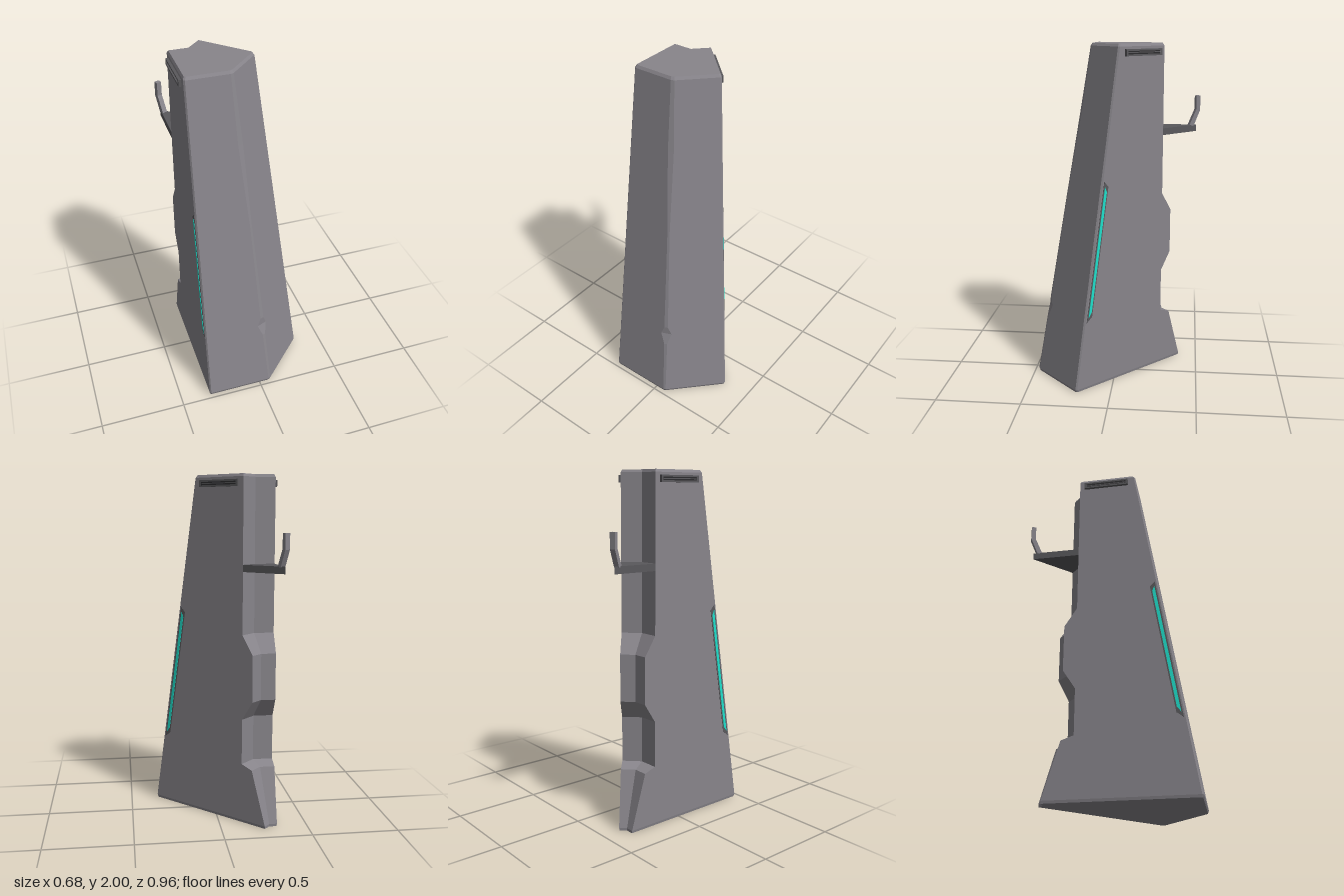
import * as THREE from 'three';

const A = Math.PI / 8; // half the angle between the two upright sides
const SIN = Math.sin(A), COS = Math.cos(A), TAN = Math.tan(A);
const mat = (name, color) => Object.assign(new THREE.MeshStandardMaterial({ color, flatShading: true }), { name });

// point on a side: d from the rear corner, out from the surface
const at = (side, d, out = 0) => new THREE.Vector2(side * (d * SIN + out * COS), d * COS - out * SIN);
// distance to the leaning front edge at a height
const frontAt = y => 0.945 - 0.165 * y;

// value of a piecewise linear profile of [y, value]
function sample(profile, y) {
  for (let i = 1; i < profile.length; i++) {
    const [y0, v0] = profile[i - 1], [y1, v1] = profile[i];
    if (y <= y1) return v0 + (v1 - v0) * (y - y0) / (y1 - y0);
  }
  return profile.at(-1)[1];
}

// where the rear notch starts, and how worn the front edge is
const REAR = [[0, 0.106], [0.33, 0.205], [0.355, 0.276], [0.62, 0.276], [0.73, 0.205], [1, 0.205], [1.11, 0.276], [2, 0.276]];
const WEAR = [[0, 0.008], [0.36, 0.01], [0.43, 0.035], [0.48, 0.012], [1.1, 0.007], [1.6, 0.018], [2, 0.01]];

function outline(y, scale) {
  const d = frontAt(y), e = sample(REAR, y), w = sample(WEAR, y), b = 0.008;
  const half = s => [at(s, e), at(s, d - b), at(s, d, -b), at(s, d, w - d * TAN)];
  const pts = [new THREE.Vector2(0, e / COS), ...half(1), ...half(-1).reverse()];
  return pts.map(p => new THREE.Vector2(p.x * scale, 0.47 + (p.y - 0.47) * scale));
}

function bodyGeometry() {
  const levels = [0, 0.015, 0.33, 0.355, 0.36, 0.43, 0.48, 0.62, 0.73, 1, 1.11, 1.6, 1.985, 2];
  const rings = levels.map(y => outline(y, y === 0 ? 0.985 : y === 2 ? 0.96 : 1));
  const n = rings[0].length, pos = [], index = [];
  rings.forEach((r, k) => r.forEach(p => pos.push(p.x, levels[k], p.y)));
  for (let k = 0; k < rings.length - 1; k++) {
    for (let i = 0; i < n; i++) {
      const a = k * n + i, b = k * n + (i + 1) % n;
      index.push(a, a + n, b + n, a, b + n, b);
    }
  }
  // end caps
  for (const [k, up] of [[0, false], [rings.length - 1, true]]) {
    for (const t of THREE.ShapeUtils.triangulateShape(rings[k], [])) {
      const ccw = THREE.ShapeUtils.area(t.map(i => rings[k][i])) > 0;
      const [a, b, c] = t.map(i => i + k * n);
      if (ccw === up) index.push(a, c, b); else index.push(a, b, c);
    }
  }
  const g = new THREE.BufferGeometry();
  g.setAttribute('position', new THREE.Float32BufferAttribute(pos, 3));
  g.setIndex(index);
  const flat = g.toNonIndexed();
  flat.computeVertexNormals();
  return flat;
}

const extrude = (pts, depth, hole) => {
  const shape = new THREE.Shape(pts.map(p => new THREE.Vector2(...p)));
  if (hole) shape.holes.push(new THREE.Path(hole.map(p => new THREE.Vector2(...p))));
  return new THREE.ExtrudeGeometry(shape, { depth, bevelEnabled: false });
};

// plate on a side, drawn in (d, y)
function plate(side, pts, depth, hole) {
  const flip = list => list && list.map(([d, y]) => [-side * d, y]);
  const basis = new THREE.Matrix4().makeBasis(
    new THREE.Vector3(-SIN, 0, -side * COS),
    new THREE.Vector3(0, 1, 0),
    new THREE.Vector3(side * COS, 0, -SIN));
  return extrude(flip(pts), depth, flip(hole)).applyMatrix4(basis);
}

const rect = (d0, d1, y0, y1) => [[d0, y0], [d1, y0], [d1, y1], [d0, y1]];
// slanted strip that follows the front edge
const strip = (o0, o1, y0, y1) => [
  [frontAt(y0) - o0, y0], [frontAt(y0 + 0.03) - o1, y0 + 0.03],
  [frontAt(y1 - 0.03) - o1, y1 - 0.03], [frontAt(y1) - o0, y1]];

export function createModel() {
  const grey = mat('body grey', 0x88858b);
  const dark = mat('dark grey', 0x5a595c);
  const black = mat('slot black', 0x2c2c2e);
  const cyan = mat('light cyan', 0x1fe0cc);

  const model = new THREE.Group();
  model.name = 'tower';
  const add = (name, geometry, material) => {
    const mesh = new THREE.Mesh(geometry, material);
    mesh.name = name;
    model.add(mesh);
  };

  add('body', bodyGeometry(), grey);

  // light strips and vents on both upright sides
  for (const [side, label] of [[1, 'left'], [-1, 'right']]) {
    add(label + 'LightFrame', plate(side, strip(0.016, 0.05, 0.42, 1.24), 0.002), dark);
    add(label + 'Light', plate(side, strip(0.024, 0.042, 0.45, 1.21), 0.004), cyan);
    add(label + 'VentFrame', plate(side, rect(0.305, 0.573, 1.932, 1.97), 0.015, rect(0.318, 0.56, 1.942, 1.96)), dark);
    add(label + 'VentSlot', plate(side, rect(0.31, 0.568, 1.936, 1.966), 0.004), black);
    add(label + 'VentSlat', plate(side, rect(0.318, 0.56, 1.949, 1.954), 0.01), dark);
  }

  // shelf filling the rear corner
  const e = 0.276;
  const shelf = extrude([[0, 0], [e * SIN, -e * COS], [0, -e / COS], [-e * SIN, -e * COS]], 0.04);
  add('shelf', shelf.rotateX(-Math.PI / 2).translate(0, 1.465, 0), dark);

  // bent hook standing on the shelf tip
  const hook = extrude([[0.022, 1.5], [0.052, 1.5], [0.007, 1.6], [0.007, 1.682], [-0.018, 1.682], [-0.018, 1.595]], 0.03);
  add('hook', hook.rotateY(-Math.PI / 2).translate(0.015, 0, 0), grey);

  model.rotation.y = A;
  model.position.set(-0.325, 0, -0.465);
  const root = new THREE.Group();
  root.name = 'monolith';
  root.add(model);
  return root;
}
